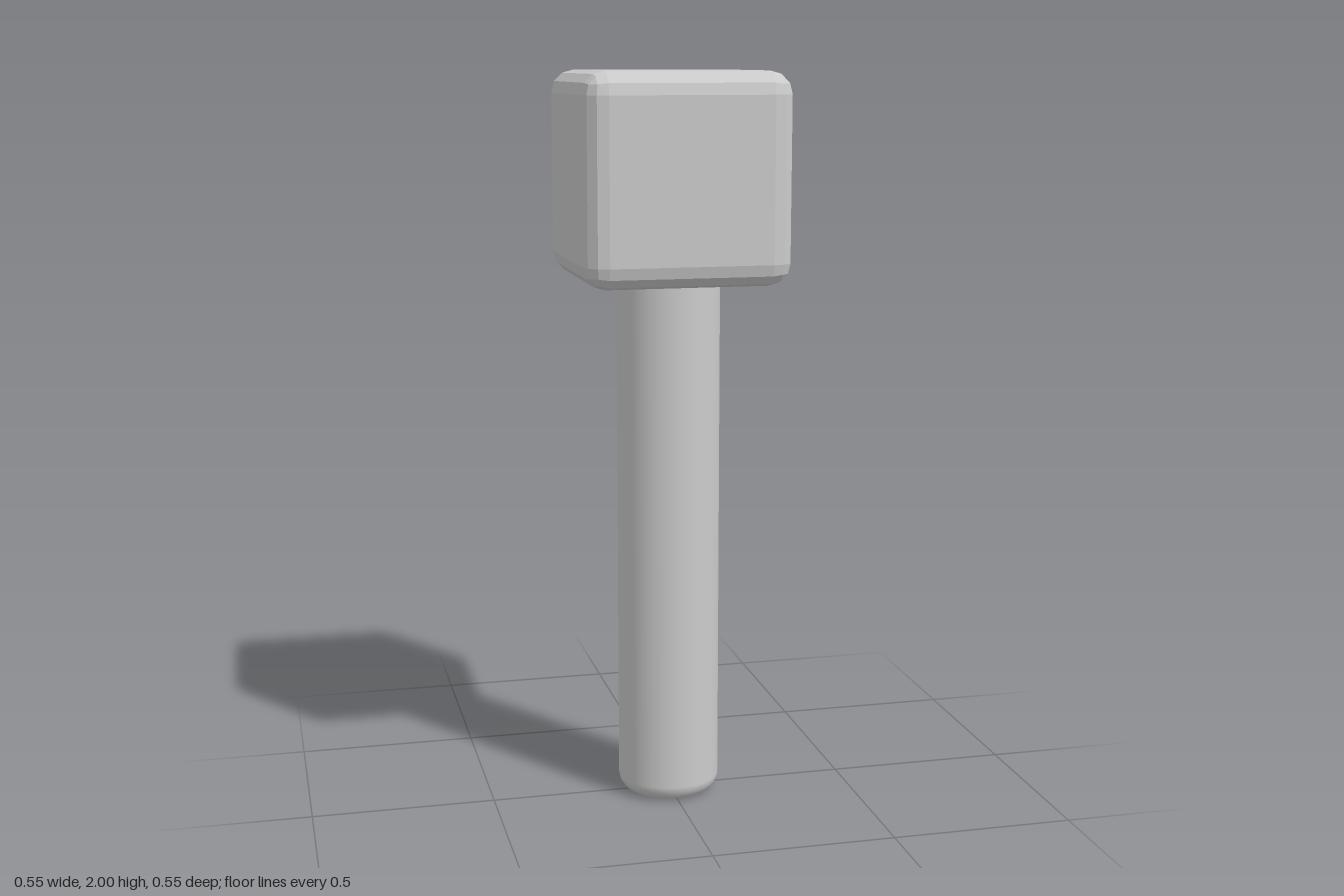
import * as THREE from 'three';
import { ConvexGeometry } from 'three/addons/geometries/ConvexGeometry.js';

const HALF = 0.276; // half the head's side
const BEVEL = 0.06;
const SHAFT_RADIUS = 0.14;
const SHAFT_ROUND = 0.045;

// Cube with three flat facets across every edge
function bevelledCube(half, bevel) {
  const dirs = [];
  for (let axis = 0; axis < 3; axis++) {
    // Quarter arc in each coordinate plane, end point left to the next plane
    for (let i = 0; i < 3; i++) {
      const a = (i * Math.PI) / 6;
      const d = [0, 0, 0];
      d[axis] = Math.cos(a);
      d[(axis + 1) % 3] = Math.sin(a);
      dirs.push(d);
    }
    // Inner ring of the corner patch
    const inner = [0.45, 0.45, 0.45];
    inner[axis] = 0.771;
    dirs.push(inner);
  }
  const core = half - bevel;
  const points = [];
  for (const sx of [-1, 1]) for (const sy of [-1, 1]) for (const sz of [-1, 1]) {
    for (const [x, y, z] of dirs) {
      points.push(new THREE.Vector3(
        sx * (core + bevel * x), sy * (core + bevel * y), sz * (core + bevel * z)));
    }
  }
  return new ConvexGeometry(points);
}

export function createModel() {
  const model = new THREE.Group();
  model.name = 'mallet';

  // Head
  const head = new THREE.Mesh(
    bevelledCube(HALF, BEVEL),
    new THREE.MeshStandardMaterial({ color: 0xcccccc, flatShading: true }));
  head.name = 'head';
  head.position.y = 2 - HALF;
  model.add(head);

  // Shaft with a rounded foot, running a little way into the head
  const profile = [new THREE.Vector2(0, 0)];
  for (let i = 0; i <= 4; i++) {
    const a = (i * Math.PI) / 8;
    profile.push(new THREE.Vector2(
      SHAFT_RADIUS - SHAFT_ROUND * (1 - Math.sin(a)),
      SHAFT_ROUND * (1 - Math.cos(a))));
  }
  profile.push(new THREE.Vector2(SHAFT_RADIUS, 1.47));
  const shaft = new THREE.Mesh(
    new THREE.LatheGeometry(profile, 32),
    new THREE.MeshStandardMaterial({ color: 0xcccccc }));
  shaft.name = 'shaft';
  model.add(shaft);

  return model;
}
